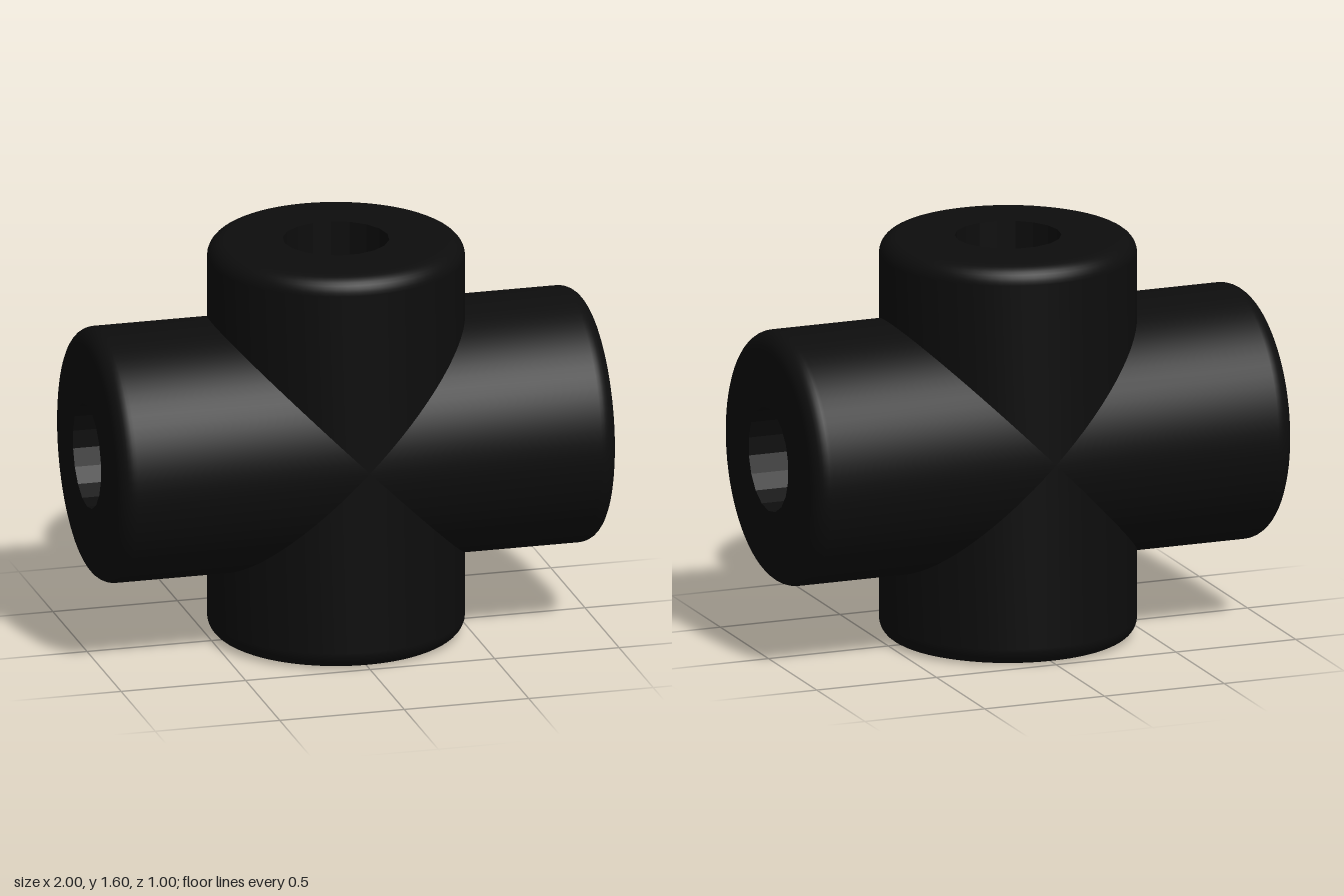
import * as THREE from 'three';

const SEGMENTS = 72;      // steps around each arm
const OUTER = 0.5;        // arm radius
const BORE = 0.207;       // corner radius of the 18-sided bore
const FILLET = 0.07;      // rounded rim

// Radius of the 18-sided bore at a given angle
function boreRadius(angle) {
  const step = Math.PI / 9;
  const local = ((angle + 1e-9) % step) - step / 2;
  return BORE * Math.cos(step / 2) / Math.cos(local);
}

// Sweeps rows around the y axis; each row maps an angle to [radius, height]
function sweep(rows) {
  const positions = [], indices = [];
  for (const row of rows) {
    for (let i = 0; i < SEGMENTS; i++) {
      const angle = (i / SEGMENTS) * Math.PI * 2;
      const [r, h] = row(angle);
      positions.push(r * Math.cos(angle), h, r * Math.sin(angle));
    }
  }
  for (let j = 0; j < rows.length - 1; j++) {
    for (let i = 0; i < SEGMENTS; i++) {
      const next = (i + 1) % SEGMENTS;
      const a = j * SEGMENTS + i, b = j * SEGMENTS + next;
      const c = a + SEGMENTS, d = b + SEGMENTS;
      indices.push(a, b, c, b, d, c);
    }
  }
  const geometry = new THREE.BufferGeometry();
  geometry.setAttribute('position', new THREE.Float32BufferAttribute(positions, 3));
  geometry.setIndex(indices);
  geometry.computeVertexNormals();
  return geometry;
}

// One arm pointing up, mitred at 45 degrees where it meets its neighbours
function createArm(name, length, material) {
  const arm = new THREE.Group();
  arm.name = name;
  const add = (part, geometry) => {
    const mesh = new THREE.Mesh(geometry, material);
    mesh.name = part;
    arm.add(mesh);
  };
  const mitre = (r, angle) => [r, Math.abs(r * Math.cos(angle))];

  // Outer wall with rounded rim
  const wall = [];
  for (let k = 0; k <= 8; k++) {
    const t = (k / 8) * Math.PI / 2;
    const r = OUTER - FILLET + FILLET * Math.sin(t);
    const h = length - FILLET + FILLET * Math.cos(t);
    wall.push(() => [r, h]);
  }
  wall.push((angle) => mitre(OUTER, angle));
  add('outerWall', sweep(wall));

  // Flat end ring
  add('endFace', sweep([
    (angle) => [boreRadius(angle), length],
    () => [OUTER - FILLET, length],
  ]));

  // Faceted through hole
  const bore = sweep([
    (angle) => mitre(boreRadius(angle), angle),
    (angle) => [boreRadius(angle), length],
  ]).toNonIndexed();
  bore.computeVertexNormals();
  add('bore', bore);
  return arm;
}

export function createModel() {
  const model = new THREE.Group();
  model.name = 'crossFitting';
  const black = new THREE.MeshStandardMaterial({ color: 0x0d0d0d });
  black.name = 'black';

  // Four arms around the centre
  const arms = [['topArm', 0.8], ['rightArm', 1], ['bottomArm', 0.8], ['leftArm', 1]];
  arms.forEach(([name, length], i) => {
    const arm = createArm(name, length, black);
    arm.rotation.z = i * Math.PI / 2;
    arm.position.y = 0.8;
    model.add(arm);
  });
  return model;
}
